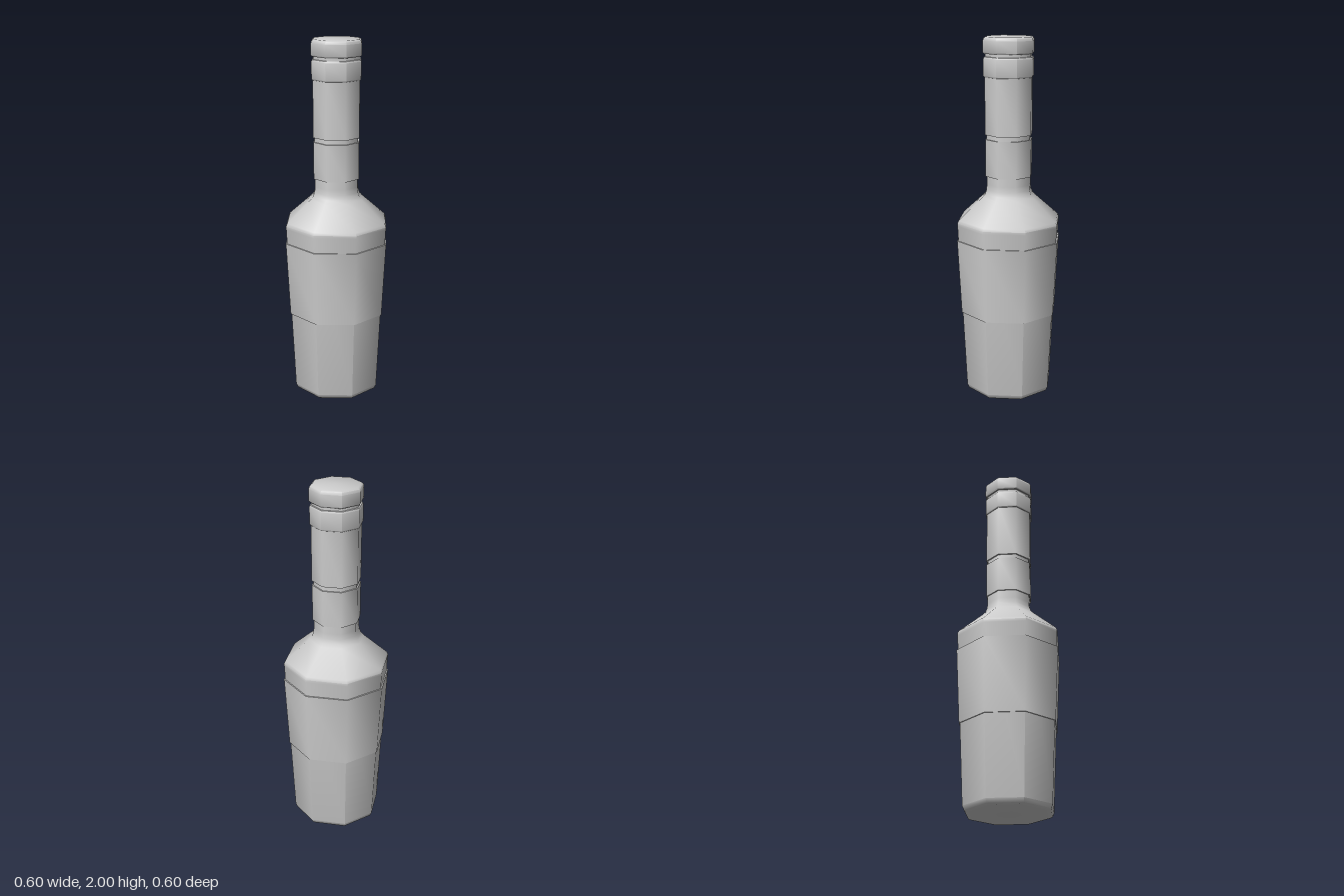
import * as THREE from 'three';
import { toCreasedNormals } from 'three/addons/utils/BufferGeometryUtils.js';

const SIDES = 8;

export function createModel() {
  const model = new THREE.Group();
  const material = new THREE.MeshStandardMaterial({ color: 0xcccccc });

  // Turns a [radius, height] profile into an eight-sided part, smooth around and sharp at steps
  function turned(name, profile) {
    const points = profile.map(([r, y]) => new THREE.Vector2(r, y));
    const geometry = toCreasedNormals(new THREE.LatheGeometry(points, SIDES), 0.82);
    const mesh = new THREE.Mesh(geometry, material);
    mesh.name = name;
    model.add(mesh);
  }

  // Thin wrapped band with closed rims; r0 and r1 are its lower and upper radii
  function band(name, y0, r0, y1, r1, depth = 0.012) {
    turned(name, [[r0 - depth, y0], [r0, y0], [r1, y1], [r1 - depth, y1]]);
  }

  // Glass: base, tapered body, sloping shoulder and neck
  turned('bottleGlass', [
    [0, 0], [0.23, 0], [0.24, 0.006], [0.25, 0.028],
    [0.296, 0.975], [0.297, 0.99], [0.29, 1.006],
    [0.153, 1.128], [0.138, 1.145], [0.129, 1.17], [0.126, 1.2],
    [0.127, 1.8], [0, 1.8],
  ]);

  // Labels and neck wrap
  band('bodyLabel', 0.47, 0.277, 0.89, 0.299);
  band('neckLabel', 1.245, 0.133, 1.45, 0.134);
  band('neckWrap', 1.475, 0.135, 1.8, 0.136);

  // Collar under the cap
  turned('collar', [
    [0.11, 1.787], [0.139, 1.787], [0.143, 1.793],
    [0.143, 1.885], [0.139, 1.894], [0.11, 1.9],
  ]);

  // Recess between collar and cap
  turned('capRecess', [[0.132, 1.88], [0.132, 1.93]]);

  // Cap with a softened top edge
  turned('cap', [
    [0.11, 1.911], [0.14, 1.911], [0.145, 1.918],
    [0.145, 1.98], [0.141, 1.993], [0.131, 2], [0, 2],
  ]);

  return model;
}
